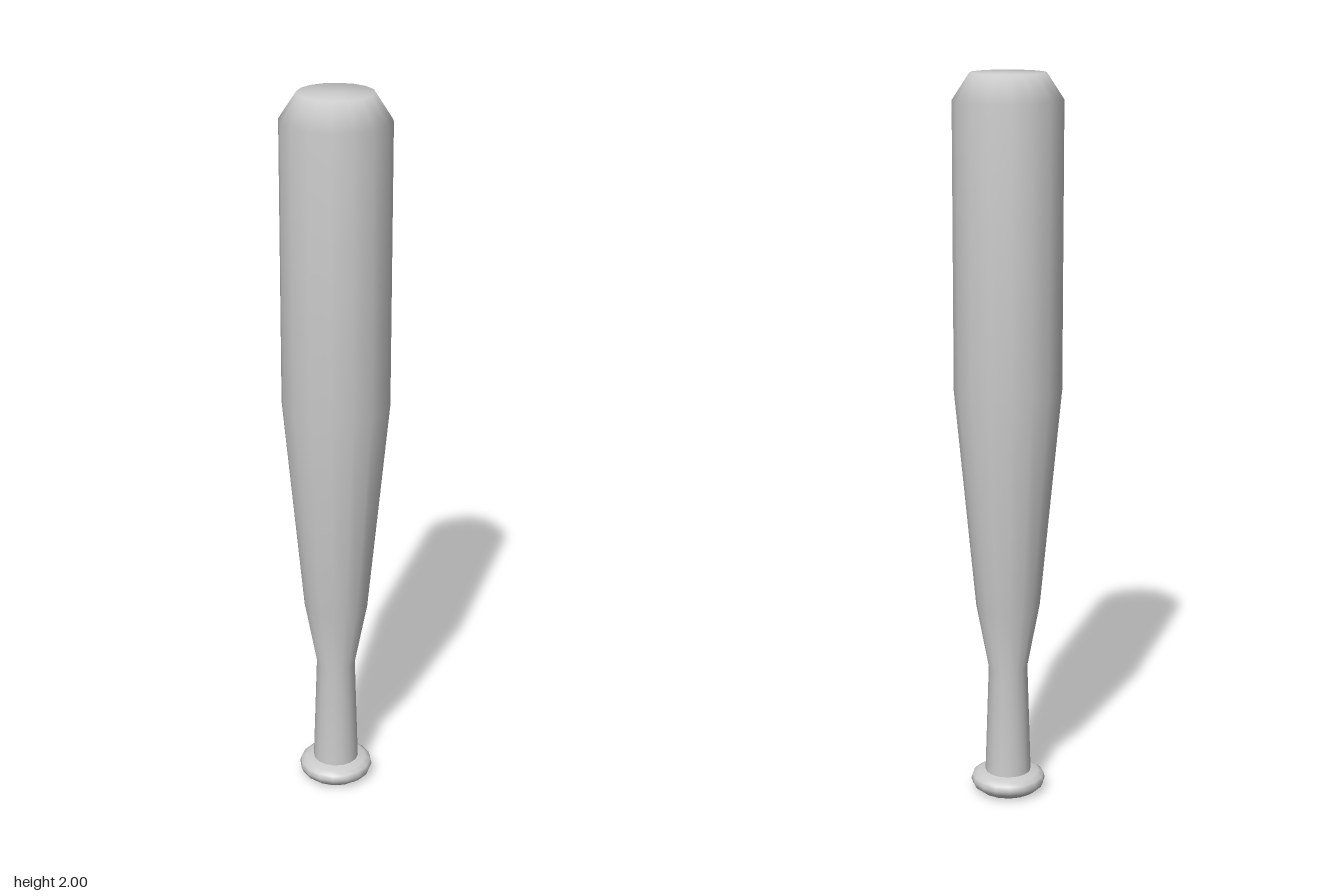
import * as THREE from 'three';

const SIDES = 16;

// Turns a profile of [radius, height] pairs, listed bottom to top, around the y axis
function turned(name, profile, material) {
  const points = profile.map(([r, y]) => new THREE.Vector2(r, y));
  const mesh = new THREE.Mesh(new THREE.LatheGeometry(points, SIDES), material);
  mesh.name = name;
  return mesh;
}

export function createModel() {
  const group = new THREE.Group();
  group.name = 'bat';
  const material = new THREE.MeshStandardMaterial({ color: 0xcccccc });

  // Rounded knob closing the grip end
  group.add(turned('knob', [
    [0, 0], [0.08, 0.003], [0.098, 0.017], [0.104, 0.032],
    [0.1, 0.046], [0.086, 0.055], [0.062, 0.06],
  ], material));

  // Grip, taper, straight barrel and bevelled flat tip in one smooth surface
  group.add(turned('handleAndBarrel', [
    [0.064, 0.055], [0.054, 0.37], [0.088, 0.55],
    [0.146, 1.16], [0.146, 1.93], [0.1, 2], [0, 2],
  ], material));

  return group;
}
